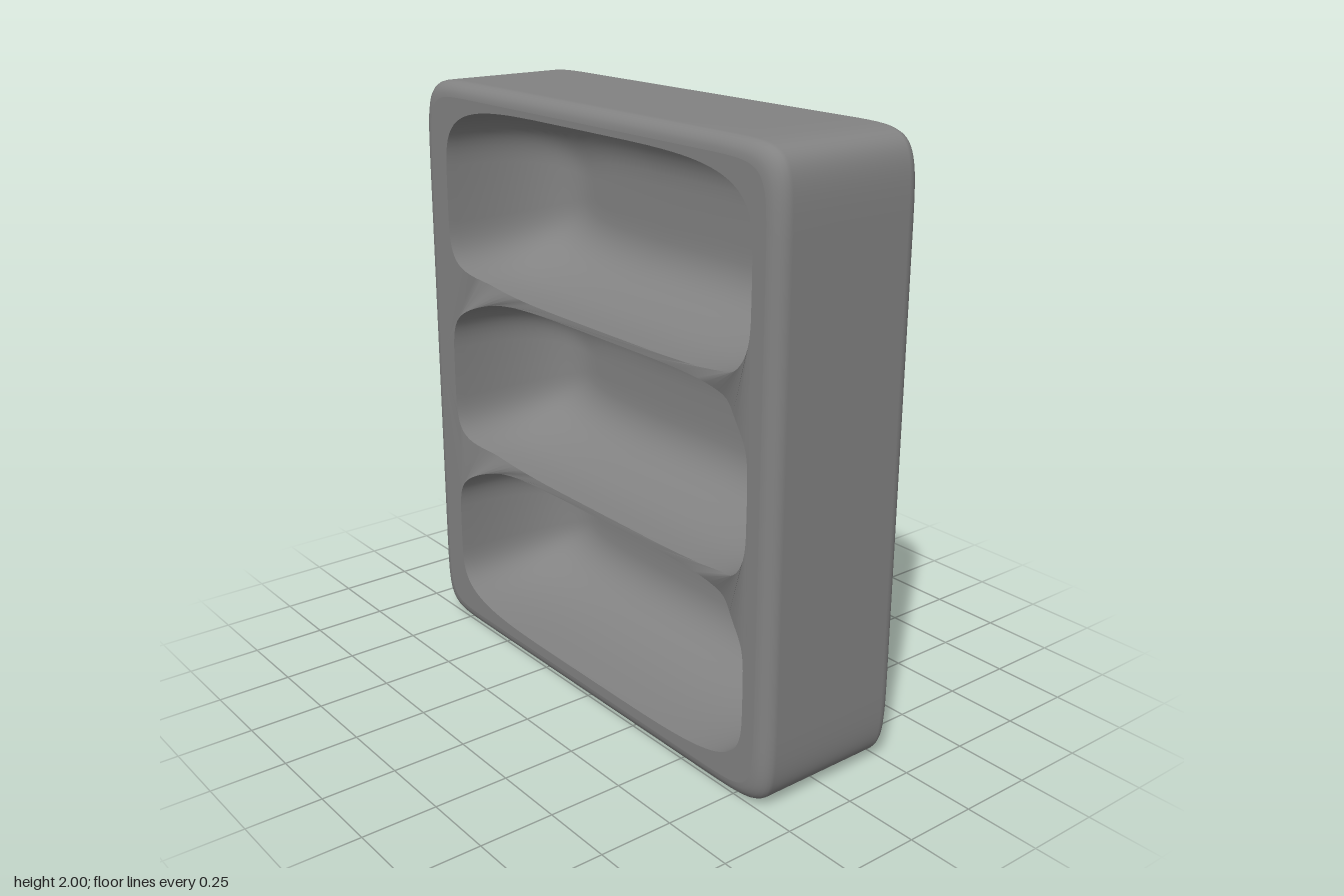
import * as THREE from 'three';

const SEG = 96;
const FRONT = 0.267, BACK = -0.275;
const material = new THREE.MeshStandardMaterial({ color: 0x828282 });

// Rounded outline (superellipse), counter-clockwise seen from the front
function outline({ cx, cy, a, b, n }, inset = 0) {
  const bend = (v) => Math.sign(v) * Math.pow(Math.abs(v), 2 / n);
  const points = [];
  for (let i = 0; i < SEG; i++) {
    const t = (i / SEG) * Math.PI * 2;
    points.push(new THREE.Vector2(
      cx + Math.max(a - inset, 0) * bend(Math.cos(t)),
      cy + Math.max(b - inset, 0) * bend(Math.sin(t))));
  }
  return points;
}

// Skin over insets of one outline; steps are [inset, z]
function loft(form, steps) {
  const positions = [], index = [];
  steps.forEach(([inset, z], j) => {
    outline(form, inset).forEach((p, i) => {
      positions.push(p.x, p.y, z);
      if (j === 0) return;
      const k = (i + 1) % SEG, lo = (j - 1) * SEG, hi = j * SEG;
      index.push(lo + i, lo + k, hi + k, lo + i, hi + k, hi + i);
    });
  });
  const geometry = new THREE.BufferGeometry();
  geometry.setAttribute('position', new THREE.Float32BufferAttribute(positions, 3));
  geometry.setIndex(index);
  geometry.computeVertexNormals();
  return geometry;
}

// Set the two thin shelves back from the front
function recess(geometry) {
  const p = geometry.attributes.position;
  for (let i = 0; i < p.count; i++) {
    const x = p.getX(i), y = p.getY(i), z = p.getZ(i);
    const inside = 1 - THREE.MathUtils.smoothstep(Math.abs(x - 0.02), 0.6, 0.8);
    const shelf = Math.exp(-(((y - 0.655) / 0.08) ** 2)) + Math.exp(-(((y - 1.28) / 0.08) ** 2));
    if (z > 0) p.setZ(i, z - 0.07 * inside * shelf * z / FRONT);
  }
  geometry.computeVertexNormals();
  return geometry;
}

export function createModel() {
  const group = new THREE.Group();
  const add = (name, geometry) => {
    const mesh = new THREE.Mesh(geometry, material);
    mesh.name = name;
    group.add(mesh);
  };

  const body = { cx: 0, cy: 1, a: 0.902, b: 1, n: 18 };
  const bays = [[0.085, 0.643], [0.665, 1.268], [1.29, 1.93]].map(([low, high]) => (
    { cx: 0.02, cy: (low + high) / 2, a: 0.78, b: (high - low) / 2, n: 4.6 }));

  // Outer shell: flat back, softened back and front edges
  const rBack = 0.05, rFront = 0.05;
  const steps = [[2, BACK], [0.25, BACK], [rBack + 0.01, BACK]];
  for (let i = 0; i <= 6; i++) {
    const t = (i / 6) * Math.PI / 2;
    steps.push([rBack * (1 - Math.sin(t)), BACK + rBack * (1 - Math.cos(t))]);
  }
  for (let i = 0; i <= 6; i++) {
    const t = (i / 6) * Math.PI / 2;
    steps.push([rFront * (1 - Math.cos(t)), FRONT - rFront * (1 - Math.sin(t))]);
  }
  add('caseShell', loft(body, steps));

  // Front frame with the three openings and thin shelves between them
  const frame = new THREE.Shape(outline(body, rFront));
  bays.forEach((bay) => frame.holes.push(new THREE.Path(outline(bay).reverse())));
  const frameGeometry = new THREE.ShapeGeometry(frame);
  frameGeometry.translate(0, 0, FRONT);
  add('frontFrame', recess(frameGeometry));

  // Scooped compartments with broadly rounded floors, ends and backs
  const depth = 0.45, scoop = 0.25, power = 2.6;
  const profile = [];
  for (let i = 0; i <= 18; i++) {
    const s = Math.sin((i / 18) * Math.PI / 2);
    profile.push([scoop * (1 - Math.pow(1 - s ** power, 1 / power)), FRONT - depth * s]);
  }
  profile.push([2, FRONT - depth]);
  bays.forEach((bay, n) => {
    add(['lowerCompartment', 'middleCompartment', 'upperCompartment'][n], recess(loft(bay, profile)));
  });

  return group;
}
